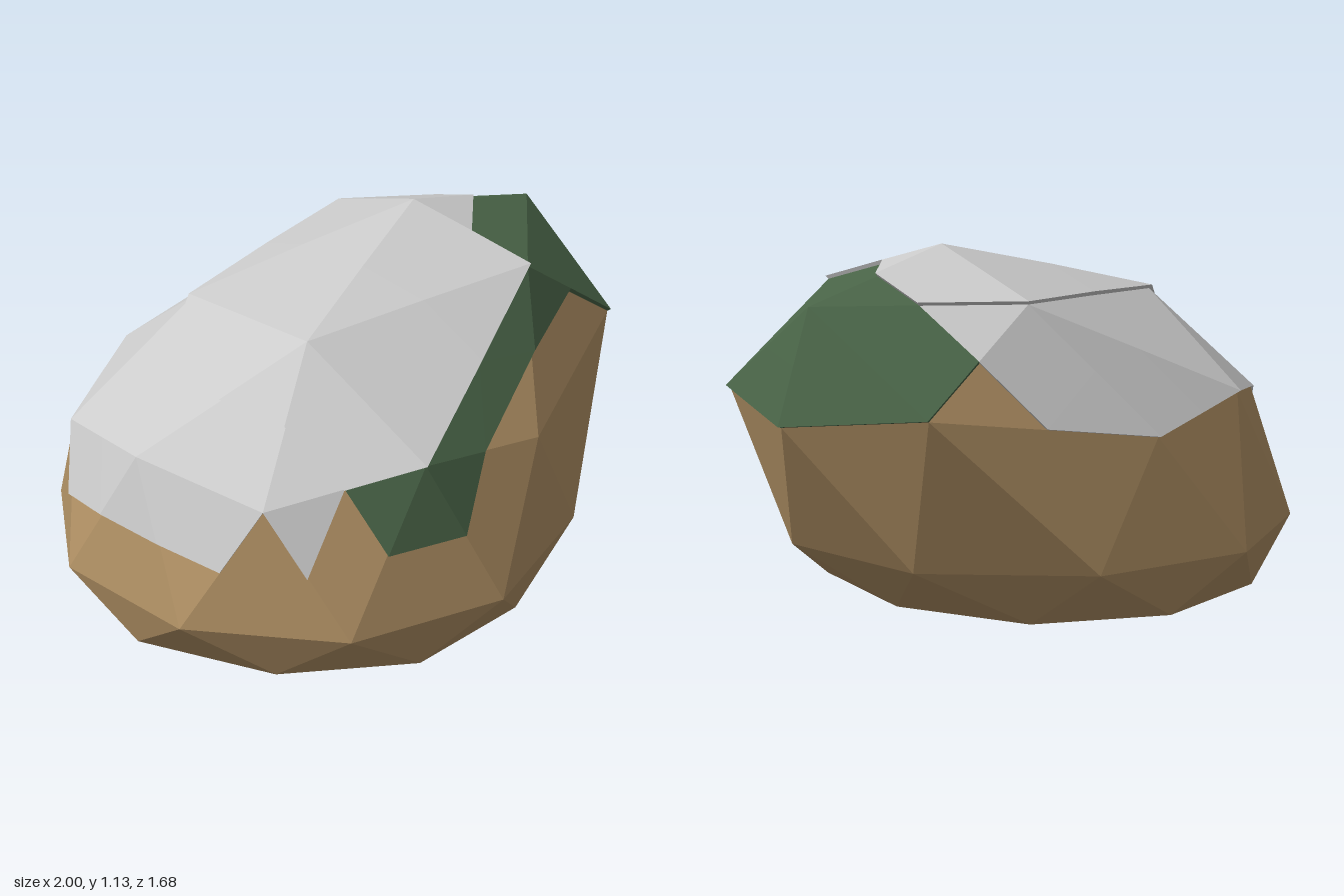
import * as THREE from 'three';

const CENTRE = new THREE.Vector3(0, 0.4, 0);
const v = (p) => new THREE.Vector3(...p);

// Completes a half ring of points by mirroring it in z
function ring(half, count) {
  const out = half.map(v);
  for (let j = half.length; j < count; j++) {
    const k = half[0][2] === 0 ? count - j : count - 1 - j;
    out.push(v([half[k][0], half[k][1], -half[k][2]]));
  }
  return out;
}

// Rings of the boulder, from the peak down
const P = [v([0.28, 1.105, 0])];
const T = ring([[0.86, 0.99, 0], [0.365, 0.98, 0.415], [-0.445, 0.925, 0.255]], 5);
const U = ring([[0.99, 0.655, 0], [0.81, 0.7, 0.42], [0.1, 0.58, 0.71],
  [-0.38, 0.645, 0.67], [-0.81, 0.57, 0.435], [-0.91, 0.63, 0]], 10);
const E = ring([[0.71, 0.2, 0.26], [0.34, 0.19, 0.68], [-0.2, 0.18, 0.84],
  [-0.7, 0.18, 0.68], [-1, 0.18, 0.26]], 10);
const B = ring([[0.51, 0, 0], [0.38, 0, 0.44], [0.02, 0, 0.71],
  [-0.43, 0, 0.71], [-0.78, 0, 0.44], [-0.95, 0, 0]], 10);
const RINGS = { P, T, U, E, B };

// Orders a triangle so that it faces outwards
function outward([a, b, c]) {
  const n = b.clone().sub(a).cross(c.clone().sub(a));
  return n.dot(a.clone().add(b).add(c).divideScalar(3).sub(CENTRE)) < 0 ? [a, c, b] : [a, b, c];
}

function facetedMesh(name, triangles, color) {
  const geometry = new THREE.BufferGeometry().setFromPoints(triangles.flat());
  geometry.computeVertexNormals();
  const mesh = new THREE.Mesh(geometry, new THREE.MeshStandardMaterial({ color, flatShading: true }));
  mesh.name = name;
  return mesh;
}

function boulderTriangles() {
  const tris = [];
  for (let k = 0; k < 5; k++) {
    const n = (k + 1) % 5, a = 2 * k, b = a + 1, c = (a + 2) % 10;
    tris.push([P[0], T[k], T[n]], [T[k], U[a], U[b]], [T[k], U[b], T[n]], [T[n], U[b], U[c]]);
  }
  const base = v([-0.2, 0, 0]);
  for (let j = 0; j < 10; j++) {
    const n = (j + 1) % 10;
    tris.push([U[j], E[j], U[n]], [U[n], E[j], E[n]]);
    tris.push([E[j], B[j], B[n]], [B[n], E[n], E[j]], [base, B[j], B[n]]);
  }
  return tris.map(outward);
}

// Faces with cover: corners, then the cover at each corner
// m moss, f thick front snow, s thin back snow, r bare rock
const COVER = [
  'T0 U0 U1 mmm', 'T0 U0 U9 mmm', 'T0 T1 U1 mmm', 'T1 U1 U2 mrr', 'T1 U2 U3 mrm',
  'U3 U2 E2 mrr', 'U3 E2 E3 mrr', 'T0 T4 U9 msm',
  'P0 T0 T1 fmm', 'P0 T1 T2 fff', 'P0 T2 T3 fff', 'P0 T3 T4 fff', 'P0 T4 T0 ffm',
  'T1 U3 T2 fff', 'T2 U3 U4 ffs', 'T2 U4 U5 fss', 'T2 T3 U5 ffs',
  'T3 U5 U6 sss', 'T3 U6 U7 sss', 'T3 U7 T4 sss', 'T4 U7 U8 sss', 'T4 U8 U9 ssr',
  'U3 U4 E3 msr', 'U4 E4 U5 srs', 'U5 E4 E5 srr', 'U5 E5 U6 srs',
];

// Splits each covered face in four and keeps the pieces of one kind
function coverPieces(kind) {
  const pieces = [];
  for (const row of COVER) {
    const words = row.split(' ');
    const p = words.slice(0, 3).map((w) => RINGS[w[0]][+w[1]]);
    const labels = [...words[3]];
    const mid = p.map((q, i) => q.clone().lerp(p[(i + 1) % 3], 0.5));
    labels.forEach((label, i) => {
      if (label === kind) pieces.push([p[i], mid[i], mid[(i + 2) % 3]]);
    });
    if (labels.filter((l) => l === kind).length > 1) pieces.push(mid);
  }
  return pieces.map(outward);
}

// Raises the pieces off the rock and walls in their open edges
function shell(name, kind, thickness, color) {
  const pieces = coverPieces(kind);
  const raise = (p) => p.clone().addScaledVector(p.clone().sub(CENTRE).normalize(), thickness);
  const key = (p) => p.toArray().map((n) => n.toFixed(3)).join();
  const edges = new Set();
  const eachEdge = (fn) => pieces.forEach((t) => t.forEach((a, i) => fn(a, t[(i + 1) % 3])));
  eachEdge((a, b) => edges.add(key(a) + '|' + key(b)));
  const tris = pieces.map((t) => t.map(raise));
  eachEdge((a, b) => {
    if (edges.has(key(b) + '|' + key(a))) return;
    tris.push([raise(a), a, b], [raise(a), b, raise(b)]);
  });
  return facetedMesh(name, tris, color);
}

export function createModel() {
  const group = new THREE.Group();
  group.name = 'snowyMossyBoulder';
  group.add(
    facetedMesh('boulder', boulderTriangles(), 0xb09064),
    shell('moss', 'm', 0.014, 0x4a6548),
    shell('frontSnow', 'f', 0.028, 0xcccccc),
    shell('backSnow', 's', 0.012, 0xcccccc),
  );
  return group;
}
